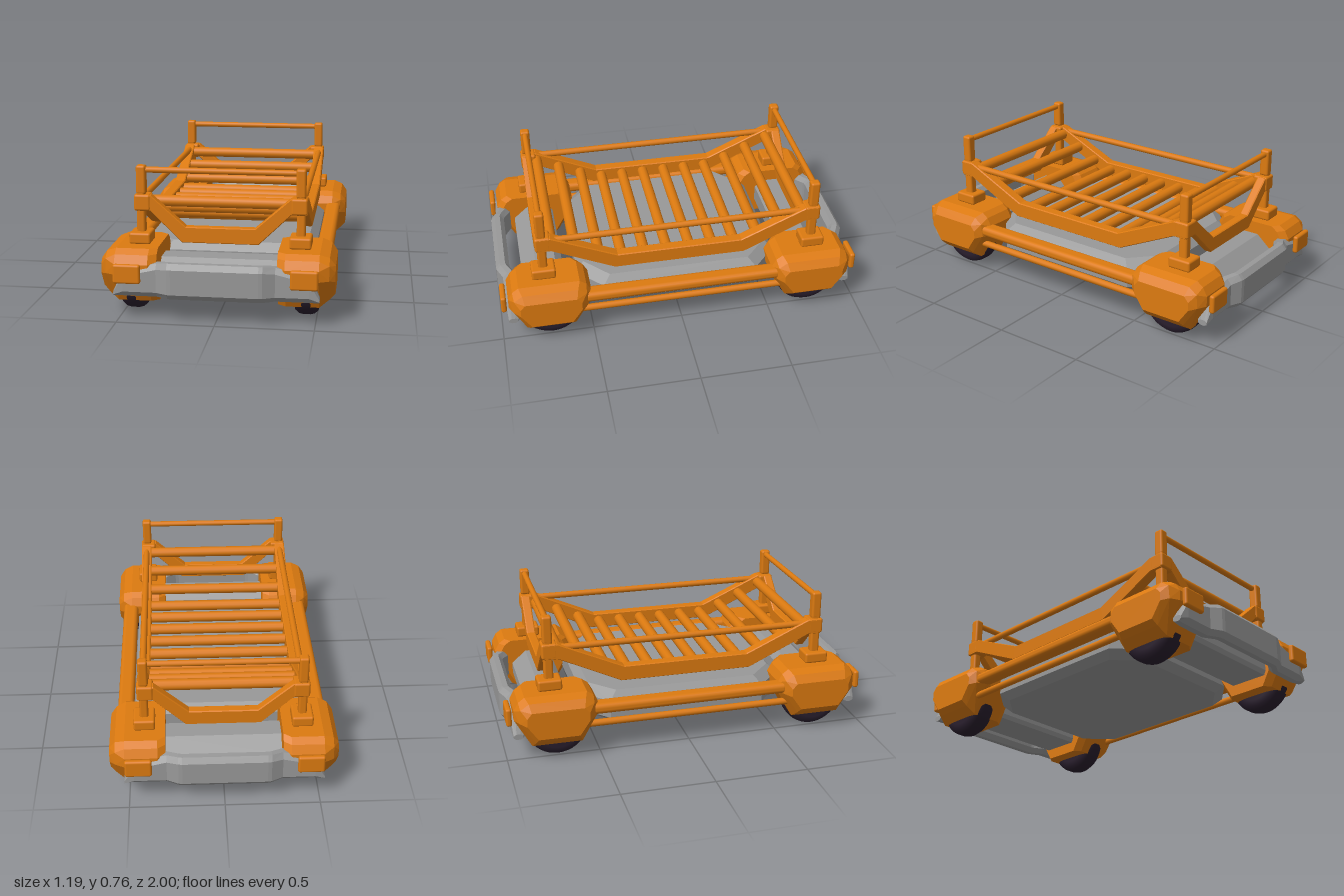
import * as THREE from 'three';
import { RoundedBoxGeometry } from 'three/addons/geometries/RoundedBoxGeometry.js';
import { ConvexGeometry } from 'three/addons/geometries/ConvexGeometry.js';

export function createModel() {
  const model = new THREE.Group();
  model.name = 'rackCart';
  const material = (name, color) => {
    const m = new THREE.MeshStandardMaterial({ color });
    m.name = name;
    return m;
  };
  const orange = material('orange', 0xdc7a10);
  const gray = material('gray', 0x999999);
  const black = material('tyreBlack', 0x2a1f2e);

  const add = (name, geometry, mat, x = 0, y = 0, z = 0) => {
    const mesh = new THREE.Mesh(geometry, mat);
    mesh.name = name;
    mesh.position.set(x, y, z);
    model.add(mesh);
    return mesh;
  };
  const box = (name, mat, w, h, d, x, y, z, r = 0.012) =>
    add(name, new RoundedBoxGeometry(w, h, d, 2, r), mat, x, y, z);
  const hull = (name, mat, points) =>
    add(name, new ConvexGeometry(points.map((p) => new THREE.Vector3(...p))), mat);
  const bar = (name, axis, length, r, x, y, z) => {
    const g = new THREE.CylinderGeometry(r, r, length, 12);
    if (axis === 'x') g.rotateZ(Math.PI / 2);
    else g.rotateX(Math.PI / 2);
    return add(name, g, orange, x, y, z);
  };

  // Chassis tray: chamfered slab with cut corners
  const outline = (w, l, y) => [1, -1].flatMap((sx) => [1, -1].flatMap((sz) => [
    [sx * w, y, sz * (l - 0.13)], [sx * (w - 0.14), y, sz * l]]));
  hull('chassis', gray, [
    ...outline(0.43, 0.52, 0.125), ...outline(0.47, 0.56, 0.165),
    ...outline(0.47, 0.56, 0.265), ...outline(0.43, 0.52, 0.31)]);

  // Bumper: section swept across x, given as [x, back z, front z, bottom, top]
  function bumperGeometry() {
    const half = [[0.22, 0.925, 1, 0.125, 0.31], [0.24, 0.92, 0.997, 0.125, 0.31],
      [0.30, 0.885, 0.968, 0.125, 0.3], [0.47, 0.885, 0.968, 0.125, 0.26],
      [0.52, 0.91, 0.962, 0.125, 0.155]];
    const rings = [...half.map(([x, ...s]) => [-x, ...s]).reverse(), ...half];
    const pos = [], idx = [], n = 8;
    for (const [x, z0, z1, y0, y1] of rings) {
      const c = Math.min(0.028, (y1 - y0) * 0.3), d = Math.min(0.025, (z1 - z0) * 0.3);
      for (const [y, z] of [[y1, z0 + d], [y1, z1 - d], [y1 - c, z1], [y0 + c, z1],
        [y0, z1 - d], [y0, z0 + d], [y0 + c, z0], [y1 - c, z0]]) pos.push(x, y, z);
    }
    const last = (rings.length - 1) * n;
    for (let i = 0; i < last; i += n) {
      for (let j = 0; j < n; j++) {
        const k = (j + 1) % n;
        idx.push(i + j, i + k, i + n + j, i + k, i + n + k, i + n + j);
      }
    }
    for (let j = 1; j < n - 1; j++) idx.push(0, j + 1, j, last, last + j, last + j + 1);
    const g = new THREE.BufferGeometry();
    g.setAttribute('position', new THREE.Float32BufferAttribute(pos, 3));
    g.setIndex(idx);
    const flat = g.toNonIndexed();
    flat.computeVertexNormals();
    return flat;
  }

  // Dipped frame rail: band that drops between its raised ends, extruded to a depth
  function dippedRail(end, dip, depth) {
    const s = new THREE.Shape();
    const knee = end - 0.07;
    [[-end, 0.605], [-knee, 0.605], [-dip + 0.015, 0.445], [dip - 0.015, 0.445], [knee, 0.605],
      [end, 0.605], [end, 0.53], [knee, 0.53], [dip, 0.37], [-dip, 0.37], [-knee, 0.53],
      [-end, 0.53]].forEach(([a, b], i) => (i ? s.lineTo(a, b) : s.moveTo(a, b)));
    const g = new THREE.ExtrudeGeometry(s, {
      depth: depth - 0.012, bevelThickness: 0.006, bevelSize: 0.004, bevelSegments: 1 });
    return g.translate(0, 0, -(depth - 0.012) / 2);
  }

  // Wheel profile with rounded shoulders
  const tyre = [[0, -0.067], [0.12, -0.067], [0.15, -0.058], [0.165, -0.04], [0.17, -0.02],
    [0.17, 0.02], [0.165, 0.04], [0.15, 0.058], [0.12, 0.067], [0, 0.067]]
    .map(([r, y]) => new THREE.Vector2(r, y));

  // Wheel pod cross-sections: x, then [y, half length] pairs
  const full = [[0.36, 0.165], [0.335, 0.2], [0.29, 0.225], [0.235, 0.225], [0.075, 0.135]];
  const podSections = [
    [0.305, full.map(([y, l]) => [y, l - 0.03])],
    [0.345, full], [0.515, full],
    [0.565, [[0.342, 0.15], [0.31, 0.195], [0.235, 0.2], [0.115, 0.12]]],
    [0.595, [[0.30, 0.14], [0.27, 0.165], [0.225, 0.165], [0.145, 0.11]]]];

  for (const sz of [1, -1]) {
    const bumper = add('bumper', bumperGeometry(), gray);
    if (sz < 0) bumper.rotation.y = Math.PI;

    // Cross beam between the pods
    hull('crossBeam', gray, [-0.31, 0.31].flatMap((x) => [
      [0.64, 0.135], [0.85, 0.135], [0.86, 0.16], [0.86, 0.22], [0.78, 0.29],
      [0.67, 0.29], [0.63, 0.25], [0.63, 0.16]].map(([z, y]) => [x, y, sz * z])));

    // End frame rail and top bar
    add('endRail', dippedRail(0.43, 0.195, 0.05), orange, 0, 0, sz * 0.755);
    bar('topBar', 'x', 0.8, 0.016, 0, 0.738, sz * 0.75);

    for (const sx of [1, -1]) {
      hull('wheelPod', orange, podSections.flatMap(([x, ring]) => ring.flatMap(([y, l]) => [
        [sx * x, y, sz * (0.73 + l)], [sx * x, y, sz * (0.73 - l)]])));
      const wheel = add('wheel', new THREE.LatheGeometry(tyre, 40), black,
        sx * 0.448, 0.17, sz * 0.725);
      wheel.rotation.z = Math.PI / 2;
      box('bumperPad', orange, 0.14, 0.1, 0.03, sx * 0.445, 0.25, sz * 0.98);
      box('postBase', orange, 0.112, 0.06, 0.13, sx * 0.412, 0.388, sz * 0.75);
      box('post', orange, 0.045, 0.36, 0.05, sx * 0.412, 0.58, sz * 0.75);
      box('postCap', orange, 0.05, 0.15, 0.052, sx * 0.41, 0.687, sz * 0.75);
      box('cornerBracket', orange, 0.085, 0.085, 0.085, sx * 0.403, 0.57, sz * 0.743);
    }
  }

  for (const sx of [1, -1]) {
    // Side frame rail with a thin handrail above it
    const rail = add('sideRail', dippedRail(0.77, 0.36, 0.06), orange, sx * 0.415);
    rail.rotation.y = Math.PI / 2;
    bar('handrail', 'z', 1.46, 0.018, sx * 0.415, 0.582, 0);
    // Lower side bars joining the pods
    box('sideBar', orange, 0.088, 0.06, 1.1, sx * 0.52, 0.265, 0, 0.025);
    bar('lowerSideBar', 'z', 1.15, 0.019, sx * 0.525, 0.175, 0);
  }

  // Rack slats following the dip of the side rails
  for (let i = 0; i < 12; i++) {
    const z = (i - 5.5) * 0.1265;
    const lift = Math.max(0, (Math.abs(z) - 0.355) / 0.345) * 0.16;
    bar('slat', 'x', 0.79, 0.03, 0, 0.408 + lift, z);
  }
  return model;
}
